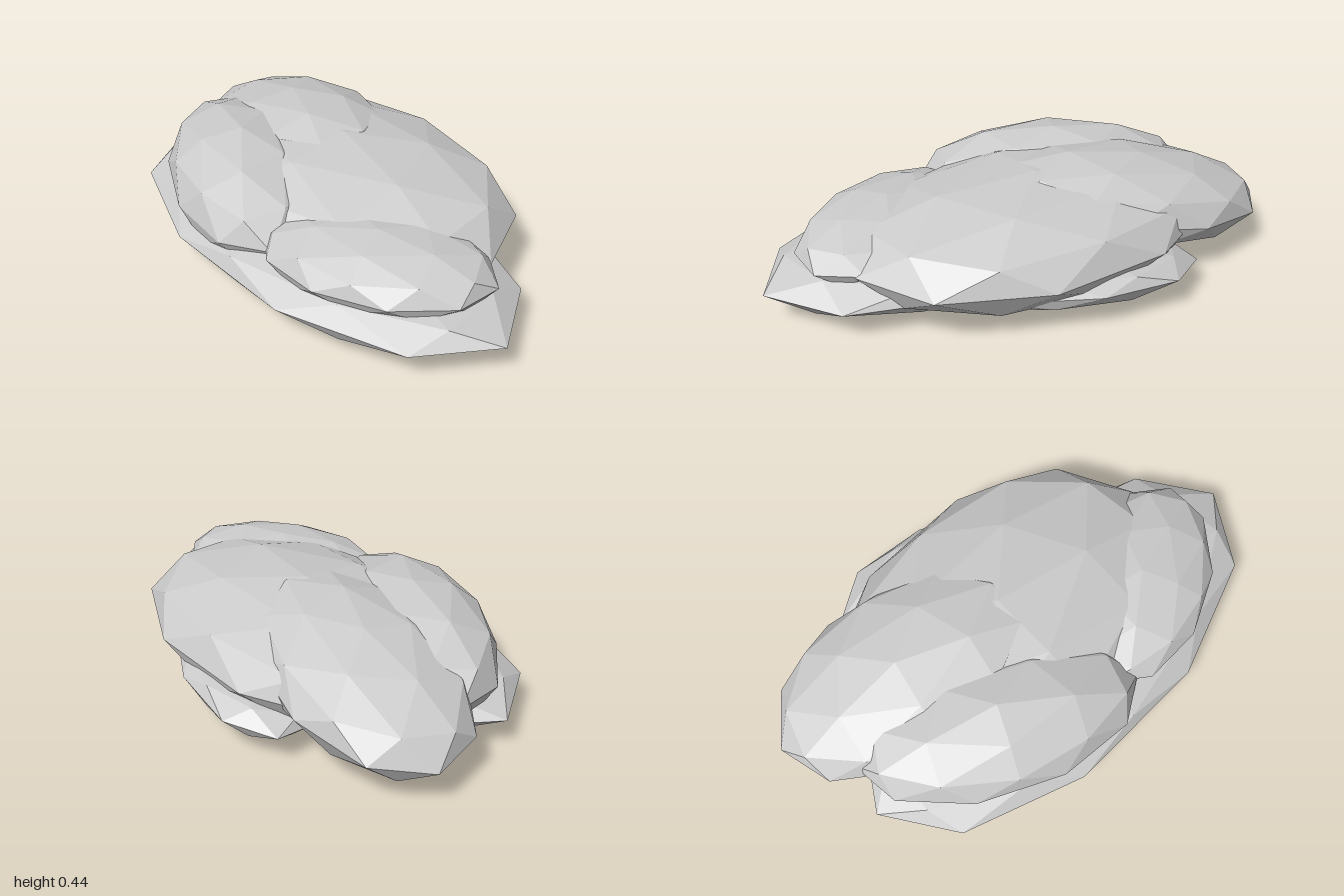
import * as THREE from 'three';

// Faceted unit stone: an 80-sided icosphere turned so a corner points straight up
function unitStone() {
  const geometry = new THREE.IcosahedronGeometry(1, 1);
  geometry.rotateZ(Math.atan(2 / (1 + Math.sqrt(5))));
  return geometry;
}

// name, centre, radii, rotation
const STONES = [
  ['baseStone', [-0.16, 0.125, 0.05], [0.473, 0.125, 0.95], [0, 0, 0]],
  ['lowerSideStone', [0.24, 0.117, 0.03], [0.3, 0.1, 0.58], [0, -0.5, 0.12]],
  ['mainTopStone', [0.05, 0.215, -0.05], [0.515, 0.205, 0.78], [0, 0, 0]],
  ['backRightTopStone', [-0.235, 0.215, -0.335], [0.295, 0.21, 0.565], [0, -0.46, 0]],
  ['frontRightTopStone', [-0.23, 0.22, 0.45], [0.28, 0.125, 0.44], [0, 0.45, 0]],
  ['backLeftTopStone', [0.135, 0.25, -0.46], [0.35, 0.17, 0.56], [-0.17, -0.25, 0]],
];

export function createModel() {
  const model = new THREE.Group();
  model.name = 'stoneCluster';
  const geometry = unitStone();
  const material = new THREE.MeshStandardMaterial({ color: 0xcccccc, flatShading: true });

  // Flattened, overlapping stones
  for (const [name, centre, radii, rotation] of STONES) {
    const stone = new THREE.Mesh(geometry, material);
    stone.name = name;
    stone.position.set(...centre);
    stone.scale.set(...radii);
    stone.rotation.set(...rotation, 'YXZ');
    model.add(stone);
  }
  return model;
}
